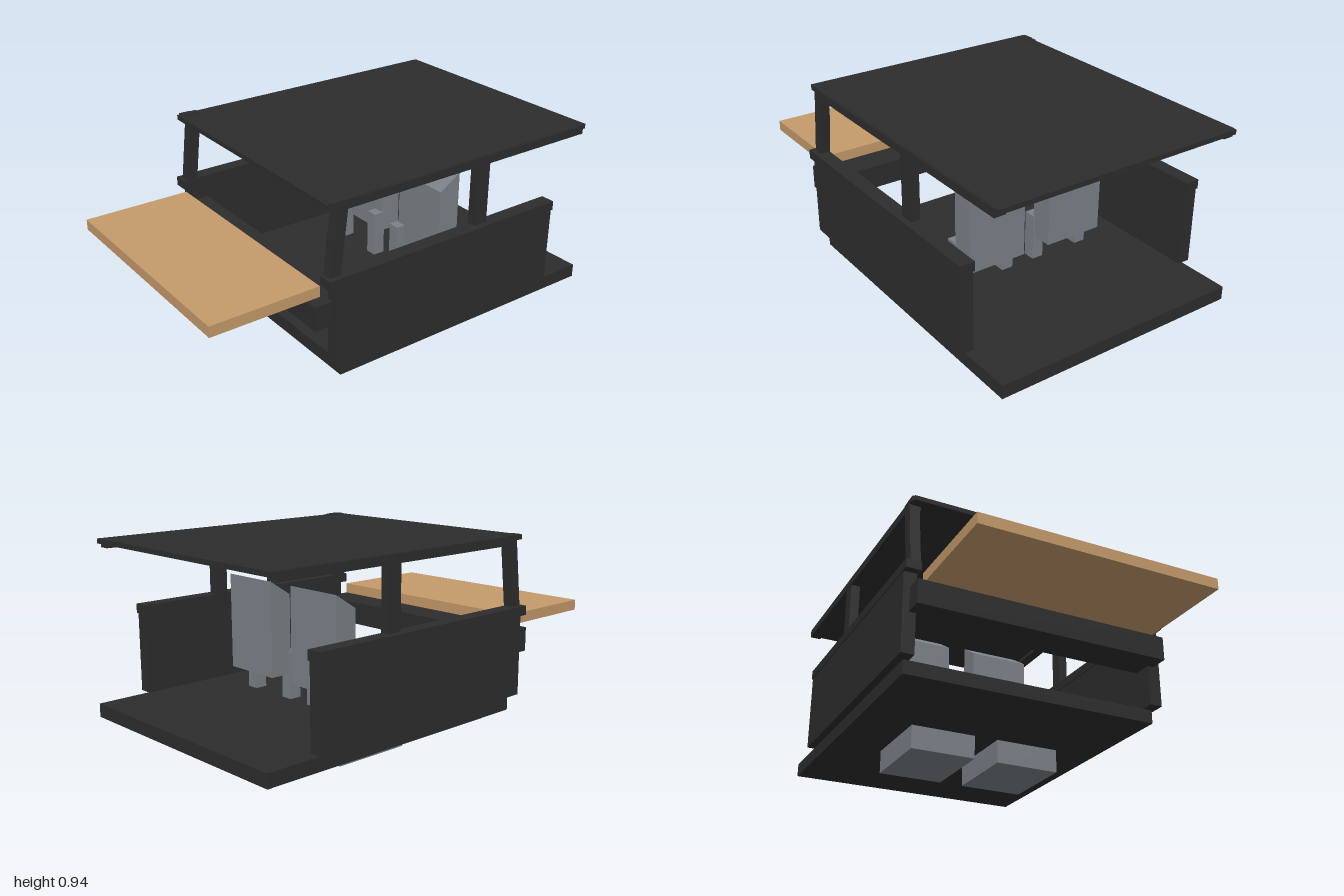
import * as THREE from 'three';

const mat = (name, color) => {
  const m = new THREE.MeshStandardMaterial({ color });
  m.name = name;
  return m;
};

export function createModel() {
  const model = new THREE.Group();
  model.name = 'openCabin';
  const dark = mat('charcoal', 0x2d2d2d);
  const grey = mat('seatGrey', 0x7b8188);
  const wood = mat('tanWood', 0xc49a6a);

  // Box given by its limits on each axis
  const box = (name, m, [x0, x1], [y0, y1], [z0, z1], parent = model) => {
    const mesh = new THREE.Mesh(new THREE.BoxGeometry(x1 - x0, y1 - y0, z1 - z0), m);
    mesh.position.set((x0 + x1) / 2, (y0 + y1) / 2, (z0 + z1) / 2);
    mesh.name = name;
    parent.add(mesh);
  };

  // Side outline of [z, y] points, extruded from x0 to x1
  const slab = (name, m, [x0, x1], points, parent = model) => {
    const shape = new THREE.Shape(points.map(([z, y]) => new THREE.Vector2(-z, y)));
    const geo = new THREE.ExtrudeGeometry(shape, { depth: x1 - x0, bevelEnabled: false });
    geo.rotateY(Math.PI / 2);
    const mesh = new THREE.Mesh(geo, m);
    mesh.position.x = x0;
    mesh.name = name;
    parent.add(mesh);
  };

  // Floor, front beam, hood and roof
  box('floor', dark, [-0.6, 0.6], [0.125, 0.188], [-1, 0.42]);
  box('frontBeam', dark, [-0.598, 0.598], [0.385, 0.497], [0.37, 0.545]);
  box('hood', wood, [-0.555, 0.555], [0.508, 0.558], [0.49, 1]);
  box('roofPanel', dark, [-0.6, 0.6], [0.912, 0.934], [-0.967, 0.485]);

  for (const s of [-1, 1]) {
    const side = s > 0 ? 'left' : 'right';
    const span = (a, b) => (s > 0 ? [a, b] : [-b, -a]);

    // Side wall with its capping rail
    box(side + 'Wall', dark, span(0.568, 0.628), [0.197, 0.6], [-0.76, 0.46]);
    box(side + 'Rail', dark, span(0.563, 0.632), [0.568, 0.611], [-0.766, 0.495]);

    // Roof side beam and pillars
    box(side + 'RoofBeam', dark, span(0.554, 0.606), [0.893, 0.932], [-0.946, 0.44]);
    box(side + 'RearPillar', dark, span(0.56, 0.604), [0.59, 0.91], [-0.37, -0.302]);
    slab(side + 'FrontPillar', dark, span(0.56, 0.607),
      [[0.48, 0.59], [0.426, 0.59], [0.384, 0.936], [0.438, 0.936]]);
    box(side + 'PillarCap', dark, span(0.56, 0.607), [0.914, 0.938], [0.415, 0.472]);

    // Seat: lower block, two posts and a backrest with a sloping top
    const seat = new THREE.Group();
    seat.name = side + 'Seat';
    model.add(seat);
    box('seatBase', grey, span(0.058, 0.368), [0, 0.11], [-0.42, -0.038], seat);
    box('innerPost', grey, span(0.058, 0.115), [0.185, 0.41], [-0.332, -0.273], seat);
    box('outerPost', grey, span(0.308, 0.365), [0.185, 0.41], [-0.332, -0.273], seat);
    slab('backrest', grey, span(0.068, 0.358),
      [[-0.32, 0.305], [-0.32, 0.675], [-0.43, 0.745], [-0.43, 0.305]], seat);
  }
  return model;
}
